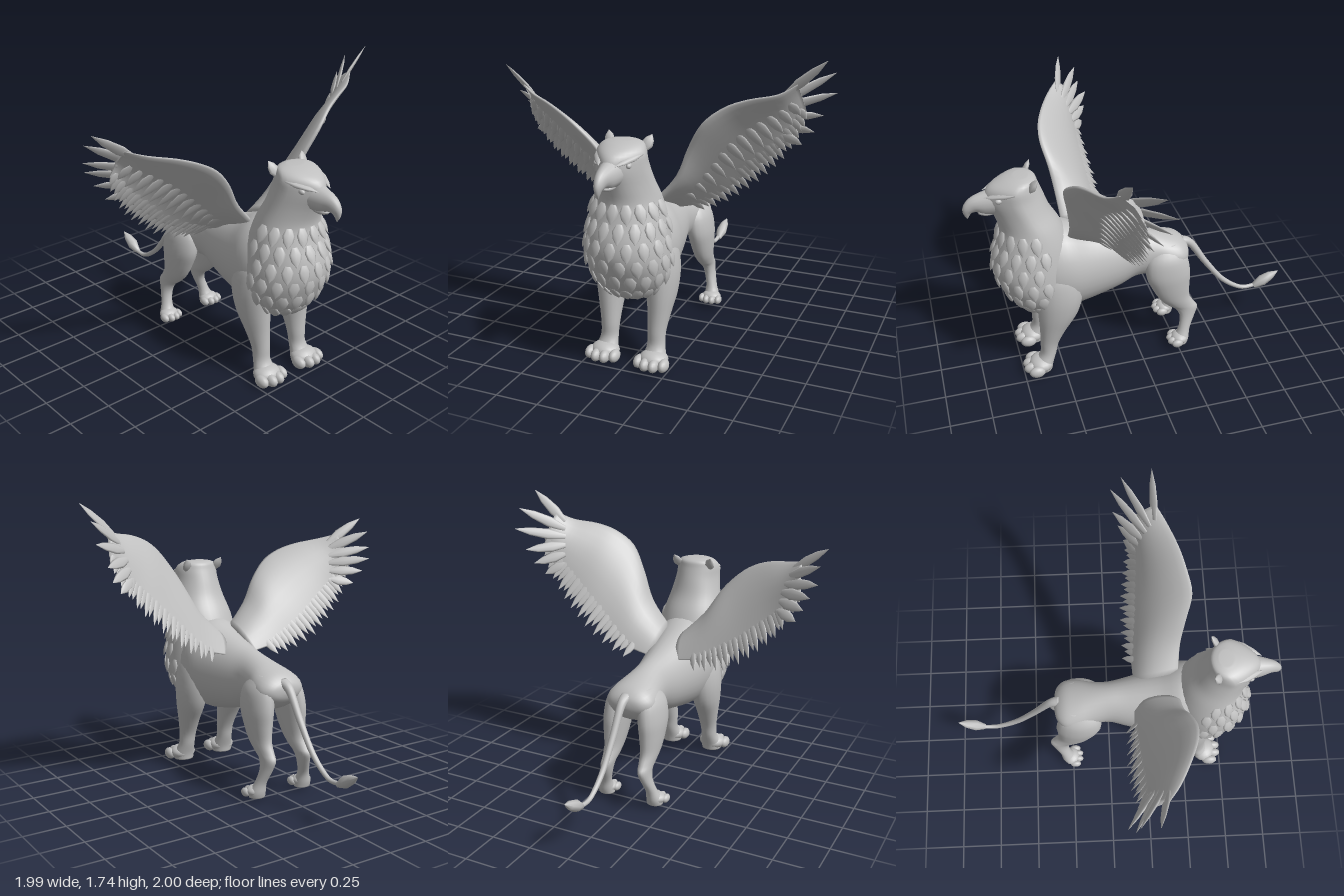
import * as THREE from 'three';
import { mergeGeometries } from 'three/addons/utils/BufferGeometryUtils.js';

const V = (x, y, z) => new THREE.Vector3(x, y, z);
const stone = new THREE.MeshStandardMaterial({ color: 0xc0c0c0 });
stone.name = 'pale grey stone';

// Catmull-Rom interpolation between rows of numbers
function smooth(rows, k = 4) {
  const out = [];
  for (let i = 0; i < rows.length - 1; i++) {
    const p = rows[Math.max(0, i - 1)], a = rows[i], b = rows[i + 1], q = rows[Math.min(rows.length - 1, i + 2)];
    for (let s = 0; s < k; s++) {
      const t = s / k;
      out.push(a.map((v, c) => {
        const cubic = 3 * (v - b[c]) + q[c] - p[c];
        const square = 2 * p[c] - 5 * v + 4 * b[c] - q[c];
        return v + 0.5 * t * (b[c] - p[c] + t * (square + t * cubic));
      }));
    }
  }
  out.push(rows[rows.length - 1]);
  return out;
}

// Ring of n points: f(cos, sin) gives each point
function ring(n, f) {
  return Array.from({ length: n }, (_, j) => f(Math.cos(j / n * Math.PI * 2), Math.sin(j / n * Math.PI * 2)));
}

// Closed skin over a list of rings, always facing outwards
function loft(rings) {
  const n = rings[0].length, m = rings.length, pts = rings.flat(), idx = [];
  const mid = r => r.reduce((s, p) => s.add(p), V(0, 0, 0)).divideScalar(n);
  const c0 = pts.length, c1 = c0 + 1;
  pts.push(mid(rings[0]), mid(rings[m - 1]));
  for (let j = 0; j < n; j++) {
    const k = (j + 1) % n;
    for (let i = 0; i < m - 1; i++) {
      const a = i * n + j, b = i * n + k;
      idx.push(a, b, a + n, b, b + n, a + n);
    }
    idx.push(c0, k, j, c1, (m - 1) * n + j, (m - 1) * n + k);
  }
  let volume = 0;
  for (let i = 0; i < idx.length; i += 3) {
    const cross = V(0, 0, 0).crossVectors(pts[idx[i + 1]], pts[idx[i + 2]]);
    volume += pts[idx[i]].dot(cross);
  }
  if (volume < 0) idx.reverse();
  const g = new THREE.BufferGeometry().setFromPoints(pts);
  g.setIndex(idx);
  g.computeVertexNormals();
  return g;
}

// Leaf-shaped blade used for feathers, ears, brows and the tail tuft
function blade(base, tip, width, thick, normal) {
  const d = tip.clone().sub(base);
  const side = V(0, 0, 0).crossVectors(normal, d).normalize();
  const up = V(0, 0, 0).crossVectors(d, side).normalize();
  return loft([[0, 0.5], [0.35, 1], [0.7, 0.75], [1, 0.04]].map(([t, w]) => ring(8, (c, s) =>
    base.clone().addScaledVector(d, t).addScaledVector(side, c * w * width).addScaledVector(up, s * w * thick))));
}

function ball(x, y, z, rx, ry, rz) {
  return new THREE.SphereGeometry(1, 16, 12).scale(rx, ry, rz).translate(x, y, z);
}

// Wing stations: leading edge xyz, trailing edge xyz, half thickness
const leftWing = [
  [0.08, 0.92, 0.42, 0.10, 0.78, 0.14, 0.05], [0.20, 1.07, 0.43, 0.24, 0.81, 0.13, 0.045],
  [0.28, 1.25, 0.46, 0.38, 0.89, 0.13, 0.04], [0.37, 1.40, 0.49, 0.50, 0.99, 0.13, 0.035],
  [0.48, 1.49, 0.46, 0.61, 1.09, 0.14, 0.03], [0.60, 1.535, 0.42, 0.71, 1.19, 0.15, 0.025],
  [0.74, 1.56, 0.36, 0.80, 1.31, 0.16, 0.02], [0.83, 1.61, 0.30, 0.86, 1.43, 0.18, 0.01]];
const leftTips = [[0.98, 1.74, 0.28], [0.99, 1.65, 0.11], [0.99, 1.53, 0.05],
  [0.92, 1.40, 0.06], [0.88, 1.31, 0.09], [0.82, 1.24, 0.12]];
const rightWing = [
  [-0.08, 0.92, 0.42, -0.10, 0.78, 0.14, 0.05], [-0.20, 1.06, 0.43, -0.24, 0.80, 0.13, 0.045],
  [-0.28, 1.20, 0.45, -0.38, 0.84, 0.13, 0.04], [-0.38, 1.31, 0.475, -0.52, 0.91, 0.13, 0.035],
  [-0.48, 1.375, 0.465, -0.63, 1.00, 0.14, 0.03], [-0.60, 1.42, 0.42, -0.73, 1.09, 0.15, 0.025],
  [-0.74, 1.45, 0.35, -0.81, 1.19, 0.16, 0.02], [-0.84, 1.48, 0.28, -0.87, 1.30, 0.17, 0.01]];
const rightTips = [[-0.995, 1.58, 0.22], [-0.98, 1.50, 0.12], [-0.98, 1.40, 0.10],
  [-0.95, 1.33, 0.06], [-0.91, 1.25, 0.08], [-0.86, 1.17, 0.11]];

function wingParts(stations, tips) {
  const side = Math.sign(stations[0][0]), rows = smooth(stations);
  const up = V(-0.4 * side, 0.47, -0.78);
  const at = (r, u) => V(r[0], r[1], r[2]).lerp(V(r[3], r[4], r[5]), u)
    .addScaledVector(up, 0.035 * Math.sin(Math.PI * Math.min(u, 1)));
  const skin = loft(rows.map(r => ring(20, (c, s) => {
    const u = (1 - c) / 2;
    return at(r, u * 0.93).addScaledVector(up, r[6] * s * (1.15 - u));
  })));
  const feathers = [];
  // Trailing feathers and a shorter covert row, swept towards the tip
  for (let i = 3; i < rows.length - 2; i++) {
    const r = rows[i], next = rows[i + 1];
    feathers.push(blade(at(r, 0.68), at(next, i % 2 ? 1.12 : 1.06), 0.026, 0.007, up));
    if (i % 2) {
      const base = at(r, 0.38).addScaledVector(up, -0.012), tip = at(next, 0.78).addScaledVector(up, -0.018);
      feathers.push(blade(base, tip, 0.028, 0.007, up));
    }
  }
  // Long fingers at the wing tip
  const a = rows[rows.length - 1], b = rows[rows.length - 9];
  tips.forEach((t, i) => {
    const f = i / (tips.length - 1);
    const base = at(a, 0.1 + f * 0.75).lerp(at(b, 0.3 + f * 0.5), 0.3 + 0.5 * f);
    feathers.push(blade(base, V(...t), 0.034, 0.01, up));
  });
  return [skin, mergeGeometries(feathers)];
}

export function createModel() {
  const model = new THREE.Group();
  model.name = 'griffin';
  const add = (name, geometry) => {
    const mesh = new THREE.Mesh(geometry, stone);
    mesh.name = name;
    model.add(mesh);
  };

  // Torso: z, top, bottom, half width
  const torso = smooth([[0.66, 0.86, 0.44, 0.14], [0.56, 0.95, 0.40, 0.21], [0.44, 0.97, 0.39, 0.225],
    [0.3, 0.91, 0.41, 0.195], [0.12, 0.855, 0.455, 0.15], [0, 0.83, 0.505, 0.122], [-0.1, 0.807, 0.51, 0.13],
    [-0.2, 0.78, 0.52, 0.155], [-0.28, 0.752, 0.55, 0.15], [-0.33, 0.71, 0.6, 0.1], [-0.345, 0.67, 0.64, 0.02]]);
  add('torso', loft(torso.map(([z, t, b, rx]) =>
    ring(28, (c, s) => V(c * rx, (t + b) / 2 + s * (t - b) / 2, z)))));

  // Head, neck and chest: y, front z, back z, half width, narrowing to the front
  const neckRows = smooth([[1.325, 0.7, 0.62, 0.05, 0], [1.31, 0.77, 0.58, 0.11, 0.2], [1.27, 0.85, 0.565, 0.138, 0.35],
    [1.2, 0.875, 0.54, 0.146, 0.4], [1.1, 0.835, 0.505, 0.165, 0.25], [1, 0.81, 0.45, 0.19, 0.1],
    [0.9, 0.83, 0.41, 0.212, 0], [0.8, 0.86, 0.39, 0.23, 0], [0.7, 0.865, 0.39, 0.24, 0], [0.6, 0.83, 0.4, 0.235, 0],
    [0.5, 0.775, 0.43, 0.195, 0], [0.42, 0.69, 0.47, 0.125, 0], [0.385, 0.62, 0.54, 0.03, 0]]);
  const neck = neckRows.map(([y, f, b, rx, taper]) => ring(32, (c, s) =>
    V(c * rx * (1 - taper * Math.max(0, s)), y, (f + b) / 2 + s * (f - b) / 2)));
  add('headAndChest', loft(neck));

  // Overlapping chest feathers
  const ruff = [];
  for (let i = 20; i < 43; i += 4) {
    for (let j = -1 + (i / 4) % 2; j <= 17; j += 2) {
      const k = (j + 32) % 32, base = neck[i][k].clone(), tip = neck[i + 4][k].clone();
      const out = V(base.x, 0, base.z - 0.6).normalize();
      ruff.push(blade(base.addScaledVector(out, -0.004), tip.addScaledVector(out, 0.017), 0.035, 0.012, out));
    }
  }
  add('chestFeathers', mergeGeometries(ruff));

  // Rings that tilt as the part bends: y, z, half width, half height, tilt
  const bent = (rows, x) => loft(smooth(rows, 5).map(([y, z, rx, ry, t]) => ring(16, (c, s) =>
    V(x + c * rx, y + s * ry * Math.cos(t), z + s * ry * Math.sin(t)))));

  // Hooked beak
  add('beak', bent([[1.185, 0.78, 0.085, 0.085, 0], [1.172, 0.88, 0.056, 0.07, 0.1], [1.165, 0.94, 0.036, 0.05, 0.5],
    [1.14, 0.973, 0.024, 0.033, 1], [1.11, 0.98, 0.013, 0.018, 1.4], [1.083, 0.978, 0.002, 0.002, 1.5]], 0));
  add('lowerBeak', ball(0, 1.115, 0.86, 0.038, 0.022, 0.06));

  // Tail and its tuft
  add('tail', bent([[0.70, -0.29, 0.04, 0.04, -0.7], [0.67, -0.37, 0.026, 0.026, -0.9], [0.51, -0.475, 0.02, 0.02, -1],
    [0.345, -0.6, 0.017, 0.017, -0.8], [0.25, -0.73, 0.014, 0.014, -0.35], [0.243, -0.82, 0.013, 0.013, 0.1],
    [0.262, -0.87, 0.012, 0.012, 0.35]], 0.005));
  add('tailTuft', blade(V(0.008, 0.24, -0.83), V(0.012, 0.332, -0.995), 0.036, 0.036, V(0, 1, 0)));

  // Paired parts
  for (const [s, side] of [[1, 'left'], [-1, 'right']]) {
    add(side + 'Ear', blade(V(s * 0.1, 1.265, 0.63), V(s * 0.128, 1.342, 0.585), 0.034, 0.018, V(0, 0, 1)));
    add(side + 'Brow', blade(V(s * 0.125, 1.268, 0.71), V(s * 0.045, 1.23, 0.88), 0.026, 0.014, V(s * 0.3, 1, 0)));
    add(side + 'Eye', ball(s * 0.093, 1.222, 0.805, 0.014, 0.015, 0.02));

    // Legs: y, x, z, half width, half depth
    const leg = rows => loft(smooth(rows).map(([y, x, z, rx, rz]) =>
      ring(20, (c, n) => V(s * (x + c * rx), y, z + n * rz))));
    add(side + 'FrontLeg', leg([[0.78, 0.12, 0.5, 0.05, 0.07], [0.68, 0.135, 0.5, 0.09, 0.13], [0.55, 0.15, 0.5, 0.095, 0.14],
      [0.42, 0.155, 0.515, 0.083, 0.122], [0.3, 0.15, 0.55, 0.066, 0.083], [0.2, 0.145, 0.577, 0.054, 0.058],
      [0.12, 0.147, 0.59, 0.052, 0.05], [0.05, 0.15, 0.625, 0.068, 0.062], [0.008, 0.15, 0.63, 0.065, 0.06]]));
    add(side + 'HindLeg', leg([[0.74, 0.08, -0.2, 0.03, 0.06], [0.66, 0.1, -0.19, 0.07, 0.125], [0.55, 0.115, -0.195, 0.075, 0.142],
      [0.45, 0.12, -0.212, 0.066, 0.122], [0.36, 0.122, -0.238, 0.053, 0.098], [0.3, 0.122, -0.282, 0.043, 0.085],
      [0.26, 0.125, -0.32, 0.037, 0.072], [0.2, 0.135, -0.322, 0.034, 0.048], [0.12, 0.155, -0.297, 0.035, 0.037],
      [0.06, 0.165, -0.275, 0.05, 0.05], [0.025, 0.165, -0.27, 0.05, 0.045]]));

    // Paws with four toes
    const paw = (x, y, z, k) => {
      const toes = [-0.075, -0.026, 0.026, 0.075].map(o =>
        ball(s * (x + o * k), y + 0.038 * k, z + (0.075 - Math.abs(o) * 0.5) * k, 0.03 * k, 0.037 * k, 0.05 * k));
      return mergeGeometries([ball(s * x, y + 0.05 * k, z, 0.085 * k, 0.05 * k, 0.075 * k), ...toes]);
    };
    add(side + 'FrontPaw', paw(0.152, 0, 0.64, 1));
    add(side + 'HindPaw', paw(0.168, 0.025, -0.262, 0.72));

    const [skin, feathers] = s > 0 ? wingParts(leftWing, leftTips) : wingParts(rightWing, rightTips);
    add(side + 'Wing', skin);
    add(side + 'WingFeathers', feathers);
  }
  return model;
}
